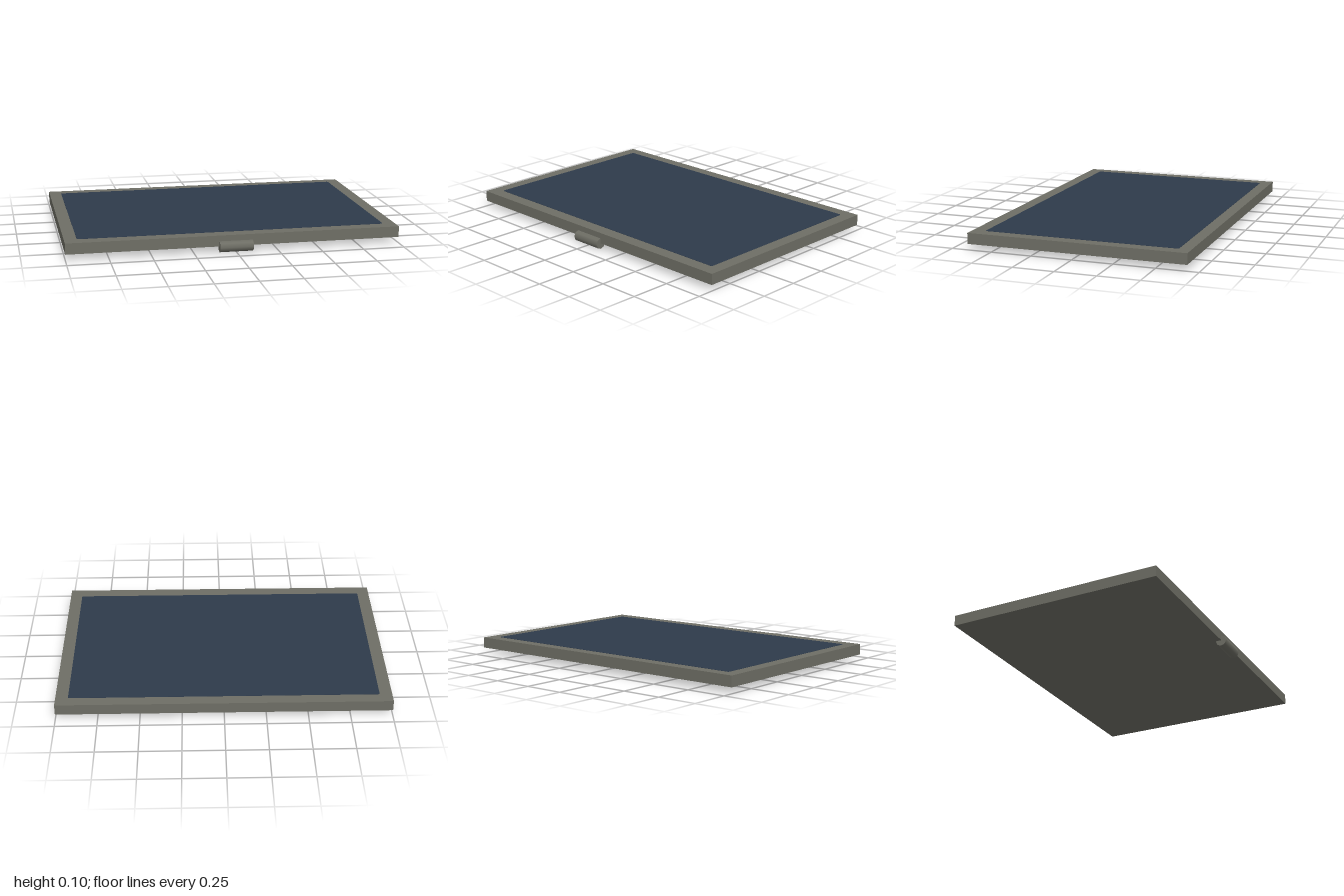
import * as THREE from 'three';

const frameGrey = new THREE.MeshStandardMaterial({ color: 0x6e6e65 });
frameGrey.name = 'warm grey frame';
const screenBlue = new THREE.MeshStandardMaterial({ color: 0x2e3b4b });
screenBlue.name = 'dark blue screen';

function addPart(group, name, geometry, material, x, y, z) {
  const mesh = new THREE.Mesh(geometry, material);
  mesh.name = name;
  mesh.position.set(x, y, z);
  group.add(mesh);
  return mesh;
}

// Flat rectangle with slightly rounded corners, centred on the origin
function roundedRect(w, h, r) {
  const s = new THREE.Shape();
  const corners = [[1, 1, 0], [-1, 1, 1], [-1, -1, 2], [1, -1, 3]];
  for (const [sx, sy, quarter] of corners) {
    const start = quarter * Math.PI / 2;
    s.absarc(sx * (w / 2 - r), sy * (h / 2 - r), r, start, start + Math.PI / 2, false);
  }
  s.closePath();
  return s;
}

export function createModel() {
  const group = new THREE.Group();
  group.name = 'displayPanel';

  // Sharp-edged slab that forms the casing and bezel
  addPart(group, 'casing', new THREE.BoxGeometry(2, 0.066, 1.332), frameGrey, 0, 0.069, -0.016);

  // Screen as a thin plate on the upper face
  const screen = new THREE.ExtrudeGeometry(roundedRect(1.85, 1.18, 0.01), {
    depth: 0.003, bevelEnabled: false, curveSegments: 3,
  });
  screen.rotateX(-Math.PI / 2);
  addPart(group, 'screen', screen, screenBlue, 0, 0.1005, -0.02);

  // Eight-sided hinge barrel on the lower front edge
  const barrel = new THREE.CylinderGeometry(0.034, 0.034, 0.2, 8);
  barrel.rotateZ(Math.PI / 2);
  addPart(group, 'hingeBarrel', barrel, frameGrey, 0, 0.034, 0.648);

  return group;
}
